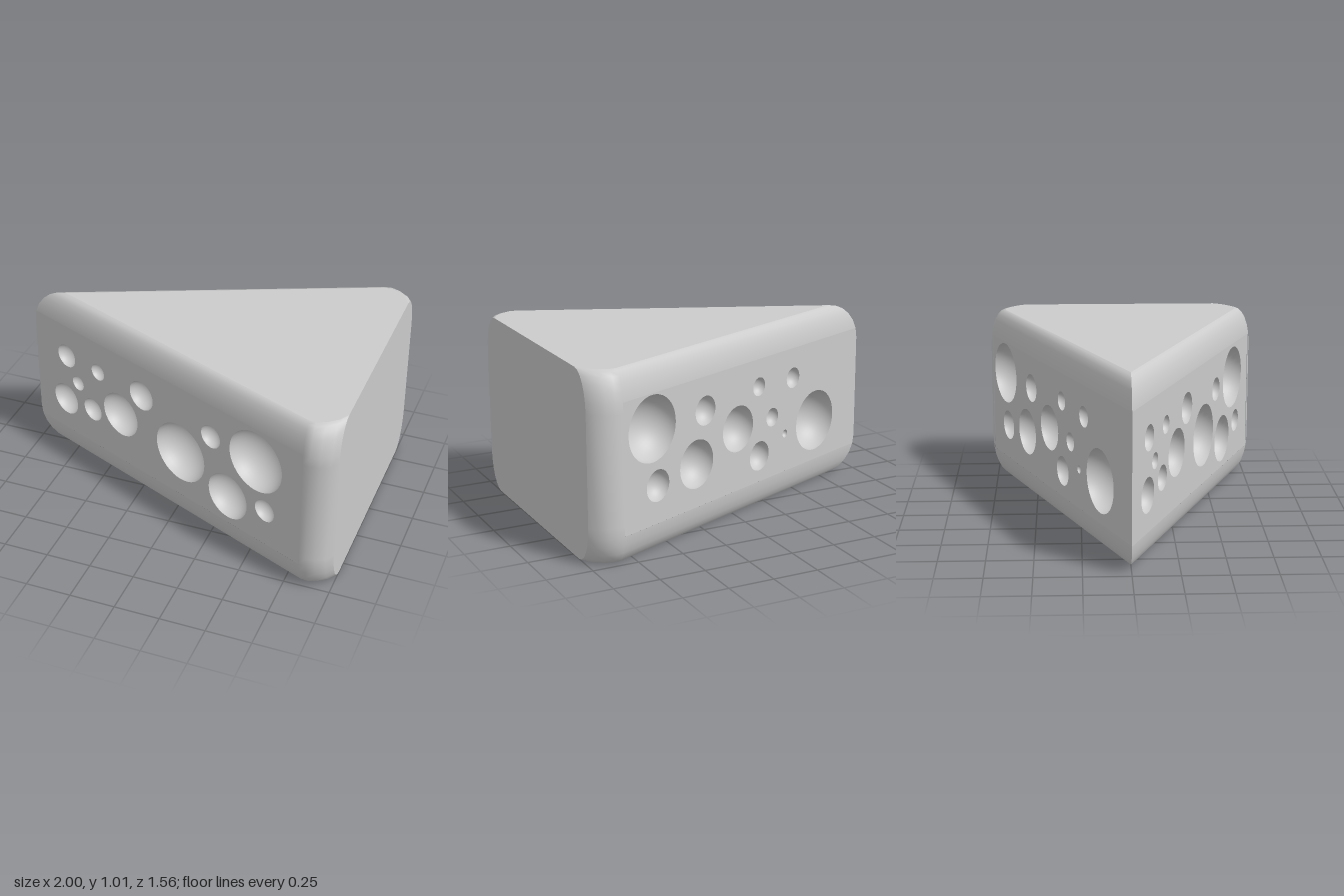
import * as THREE from 'three';

const SLOPE = 0.42;                 // side walls follow z = SLOPE * (x + 1)
const TILT = Math.atan(SLOPE);
const HEIGHT = 1.01, ROUND = 0.21;  // total height and height of the rounded edges

// Half outline from the tip to the rear corner: at mid height and at top/bottom
const MID = [[-1, 0], [0.83, 0.769], [0.87, 0.779], [0.92, 0.772], [0.97, 0.745], [1, 0.7]];
const END = [[-0.8, 0], [0.83, 0.685], [0.87, 0.688], [0.92, 0.665], [0.97, 0.62], [1, 0.57]];

// Holes as [x, y, radius]
const FRONT_HOLES = [
  [-0.77, 0.66, 0.07], [-0.535, 0.665, 0.05], [-0.69, 0.515, 0.045], [-0.79, 0.36, 0.096],
  [-0.585, 0.39, 0.07], [-0.375, 0.465, 0.133], [-0.22, 0.67, 0.088], [0.05, 0.44, 0.178],
  [0.255, 0.655, 0.068], [0.37, 0.33, 0.137], [0.545, 0.655, 0.18], [0.61, 0.375, 0.066],
];
const BACK_HOLES = [
  [0.635, 0.67, 0.177], [0.255, 0.67, 0.08], [0.6, 0.36, 0.086], [0.32, 0.395, 0.133],
  [0.005, 0.505, 0.128], [-0.16, 0.7, 0.052], [-0.27, 0.5, 0.052], [-0.167, 0.305, 0.083],
  [-0.44, 0.685, 0.058], [-0.378, 0.377, 0.022], [-0.634, 0.39, 0.174],
];

// How far the outline has moved from MID (0) to END (1) at height y
function inset(y) {
  const d = Math.max(0, y - (HEIGHT - ROUND), ROUND - y) / ROUND;
  return 1 - Math.sqrt(Math.max(0, 1 - d * d));
}

const outlineAt = (y) => MID.map(([x, z], j) => {
  const t = inset(y);
  return [x + (END[j][0] - x) * t, z + (END[j][1] - z) * t];
});

// Heights of the cross-sections, densest in the rounded edges
const STEPS = 6;
const levels = [];
for (let i = STEPS; i >= 0; i--) levels.push(ROUND * (1 - Math.sin((i / STEPS) * Math.PI / 2)));
for (const y of [...levels].reverse()) levels.push(HEIGHT - y);
const LOW = STEPS - 1, HIGH = STEPS + 2; // the pierced wall fills the levels between these

// Rounded skin of one half, leaving a window for the pierced wall
function skinGeometry() {
  const n = MID.length, pos = [], all = [], kept = [];
  for (const y of levels) for (const [x, z] of outlineAt(y)) pos.push(x, y, z);
  for (let i = 0; i < levels.length - 1; i++) {
    for (let j = 0; j < n - 1; j++) {
      const a = i * n + j, b = a + 1, c = b + n, d = a + n;
      const quad = [a, b, c, a, c, d];
      all.push(...quad);
      if (!(j === 0 && i >= LOW && i < HIGH)) kept.push(...quad);
    }
  }
  const geo = new THREE.BufferGeometry();
  geo.setAttribute('position', new THREE.Float32BufferAttribute(pos, 3));
  geo.setIndex(all);
  geo.computeVertexNormals();
  geo.setIndex(kept);
  return geo;
}

// Sloping wall pierced by round openings
function wallGeometry(holes) {
  const shape = new THREE.Shape();
  const right = MID[1][0];
  shape.moveTo(right, levels[LOW]);
  shape.lineTo(right, levels[HIGH]);
  for (let i = HIGH; i >= LOW; i--) shape.lineTo(outlineAt(levels[i])[0][0], levels[i]);
  for (const [x, y, r] of holes) {
    const path = new THREE.Path();
    path.absellipse(x, y, r * Math.cos(TILT), r, 0, Math.PI * 2, true);
    shape.holes.push(path);
  }
  const geo = new THREE.ShapeGeometry(shape, 20);
  const p = geo.attributes.position, nrm = geo.attributes.normal;
  for (let i = 0; i < p.count; i++) {
    p.setZ(i, SLOPE * (p.getX(i) + 1 - 0.2 * inset(p.getY(i))));
    nrm.setXYZ(i, -Math.sin(TILT), 0, Math.cos(TILT));
  }
  return geo;
}

// Hollow bowl behind one opening, facing outwards
function bowlGeometry([x, y, r]) {
  const geo = new THREE.SphereGeometry(r, 40, 12, 0, Math.PI * 2, 0, Math.PI / 2);
  geo.scale(1, -0.9, 1);
  const nrm = geo.attributes.normal;
  for (let i = 0; i < nrm.count; i++) nrm.setXYZ(i, -nrm.getX(i), -nrm.getY(i), -nrm.getZ(i));
  geo.rotateX(Math.PI / 2);
  geo.rotateY(-TILT);
  geo.translate(x, y, SLOPE * (x + 1));
  return geo;
}

// Mirror to the other side and restore the winding
function mirrorZ(geo) {
  geo.scale(1, 1, -1);
  const idx = geo.index;
  for (let i = 0; i < idx.count; i += 3) {
    const a = idx.getX(i);
    idx.setX(i, idx.getX(i + 1));
    idx.setX(i + 1, a);
  }
  return geo;
}

// Flat polygon symmetric about its second axis value
const flat = (points) => new THREE.ShapeGeometry(new THREE.Shape(points.map(([a, b]) => new THREE.Vector2(a, b))));

export function createModel() {
  const group = new THREE.Group();
  group.name = 'cheeseWedge';
  const material = new THREE.MeshStandardMaterial({ color: 0xcccccc });
  const add = (name, geo) => {
    const mesh = new THREE.Mesh(geo, material);
    mesh.name = name;
    group.add(mesh);
  };

  // Two pierced sides
  for (const [side, holes] of [['front', FRONT_HOLES], ['back', BACK_HOLES]]) {
    const place = side === 'front' ? (g) => g : mirrorZ;
    add(side + 'Skin', place(skinGeometry()));
    add(side + 'Wall', place(wallGeometry(holes)));
    holes.forEach((h, i) => add(side + 'Hole' + (i + 1), place(bowlGeometry(h))));
  }

  // Top and bottom faces
  const mirrored = END.slice(1).reverse().map(([x, z]) => [x, z]);
  const cap = [END[0], ...END.slice(1).map(([x, z]) => [x, -z]), ...mirrored];
  add('topFace', flat(cap).rotateX(-Math.PI / 2).translate(0, HEIGHT, 0));
  add('bottomFace', flat(cap).rotateX(Math.PI / 2));

  // Flat rear face (rind)
  const edge = levels.map((y) => [outlineAt(y)[MID.length - 1][1], y]);
  const rind = [...edge, ...[...edge].reverse().map(([z, y]) => [-z, y])];
  add('rindFace', flat(rind).rotateY(Math.PI / 2).translate(1, 0, 0));

  return group;
}
